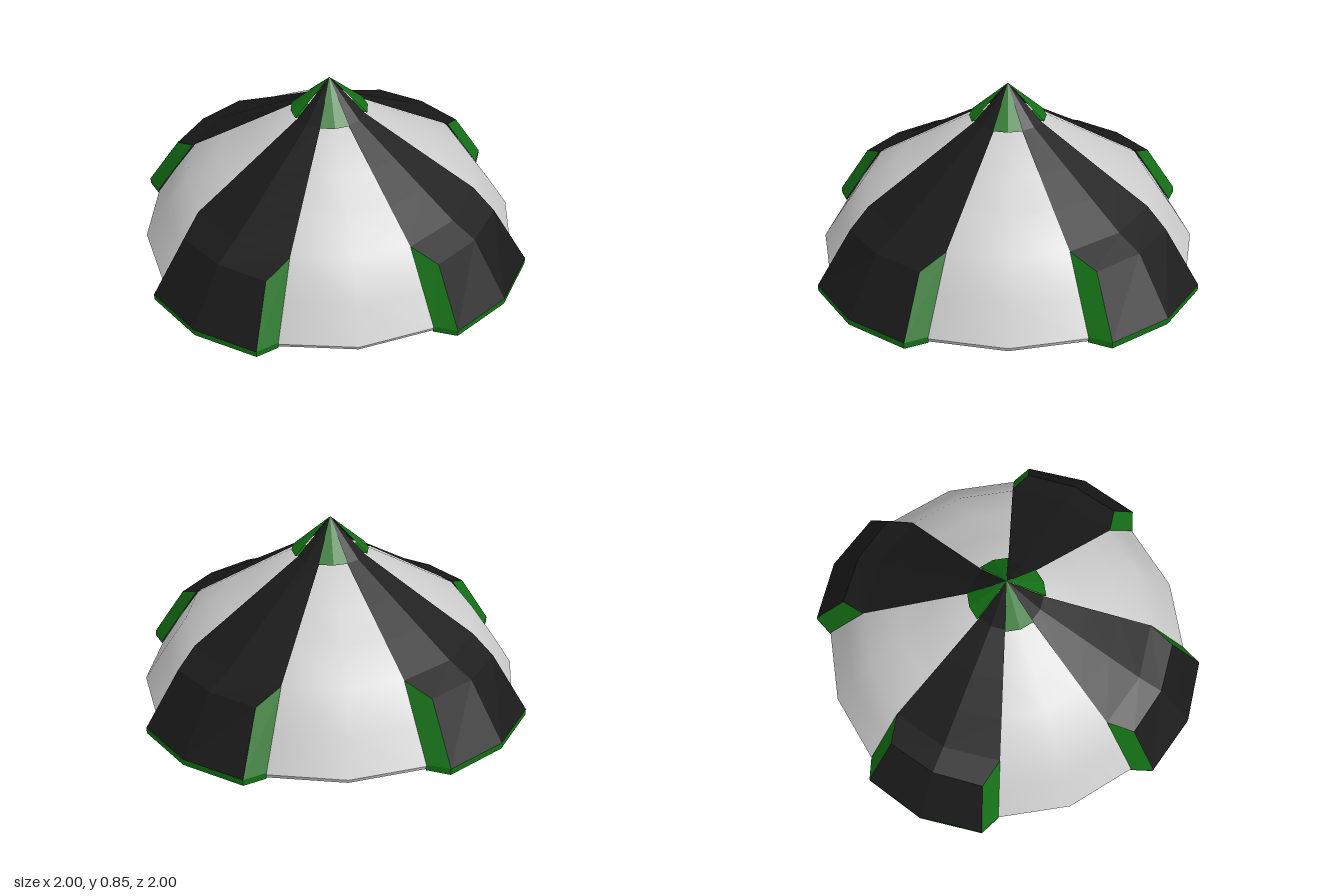
import * as THREE from 'three';

const GREEN = 0x147016, BLACK = 0x191919, GREY = 0xcccccc;

const material = (color, flat) => new THREE.MeshStandardMaterial({
  color, flatShading: flat, side: THREE.DoubleSide,
});

function part(name, geometry, color, flat = true) {
  const mesh = new THREE.Mesh(geometry, material(color, flat));
  mesh.name = name;
  return mesh;
}

// Point from an angle in degrees (0 faces +z), a radius and a height
function polar(deg, r, y) {
  const a = THREE.MathUtils.degToRad(deg);
  return [r * Math.sin(a), y, r * Math.cos(a)];
}

// Skin between successive rows of points, listed bottom to top, left to right
function skin(rows) {
  const n = rows[0].length, index = [];
  for (let j = 0; j < rows.length - 1; j++) {
    for (let i = 0; i < n - 1; i++) {
      const a = j * n + i, b = a + 1, c = a + n, d = b + n;
      index.push(a, b, d, a, d, c);
    }
  }
  const g = new THREE.BufferGeometry();
  g.setAttribute('position', new THREE.Float32BufferAttribute(rows.flat(2), 3));
  g.setIndex(index);
  g.computeVertexNormals();
  return g;
}

const lathe = (points) =>
  new THREE.LatheGeometry(points.map(([r, y]) => new THREE.Vector2(r, y)), 16);

// One raised stripe with its sloping green sides and bottom lip
function createStripe() {
  const stripe = new THREE.Group();

  // height, radius at the middle, radius at the edge, half angle
  const rings = [
    [0.03, 1, 0.987, 18],
    [0.29, 0.82, 0.816, 17.1],
    [0.345, 0.7, 0.7, 22.5],
    [0.45, 0.532, 0.532, 22.5],
    [0.55, 0.374, 0.374, 22.5],
    [0.68, 0.17, 0.17, 22.5],
    [0.85, 0, 0, 22.5],
  ];
  stripe.add(part('stripePanel', skin(rings.map(([y, mid, edge, a]) =>
    [polar(-a, edge, y), polar(0, mid, y), polar(a, edge, y)])), BLACK));

  for (const s of [-1, 1]) {
    const quad = [
      [polar(s * 18, 0.987, 0.03), polar(s * 22.5, 0.906, 0.03)],
      [polar(s * 17.1, 0.816, 0.29), polar(s * 22.5, 0.7, 0.345)],
    ];
    if (s < 0) quad.forEach((row) => row.reverse());
    stripe.add(part(s < 0 ? 'stripeSideRight' : 'stripeSideLeft', skin(quad), GREEN));
  }

  const outline = [[-22.5, 0.906], [-18, 0.987], [0, 1], [18, 0.987], [22.5, 0.906]];
  const row = (y) => outline.map(([a, r]) => polar(a, r, y));
  stripe.add(part('stripeLip', skin([row(0), row(0.03)]), GREEN));

  // Closed underside of the raised part
  stripe.add(part('stripeUnderside',
    skin([outline.map(() => [0, 0.004, 0]), row(0.004)]), BLACK));
  return stripe;
}

export function createModel() {
  const model = new THREE.Group();

  // Smooth grey dome with a thin upright rim
  model.add(part('dome', lathe([
    [0.906, 0.02], [0.805, 0.18], [0.693, 0.345], [0.522, 0.45],
    [0.364, 0.55], [0.16, 0.675], [0, 0.68],
  ]), GREY, false));
  model.add(part('domeRim', lathe([[0.9, 0.002], [0.906, 0.02]]), GREY, false));

  // Flat underside
  const floor = part('underside', new THREE.CircleGeometry(0.9, 16), BLACK);
  floor.rotation.x = Math.PI / 2;
  floor.position.y = 0.004;
  model.add(floor);

  // Four stripes, with a green sector of the pointed cap between each pair
  for (let i = 0; i < 4; i++) {
    const stripe = createStripe();
    stripe.name = 'stripe' + (i + 1);
    stripe.rotation.y = i * Math.PI / 2;
    model.add(stripe);

    const cap = part('capSector' + (i + 1), new THREE.ConeGeometry(
      0.182, 0.165, 2, 1, false, Math.PI / 8 + i * Math.PI / 2, Math.PI / 4), GREEN);
    cap.position.y = 0.685 + 0.165 / 2;
    model.add(cap);
  }
  return model;
}
